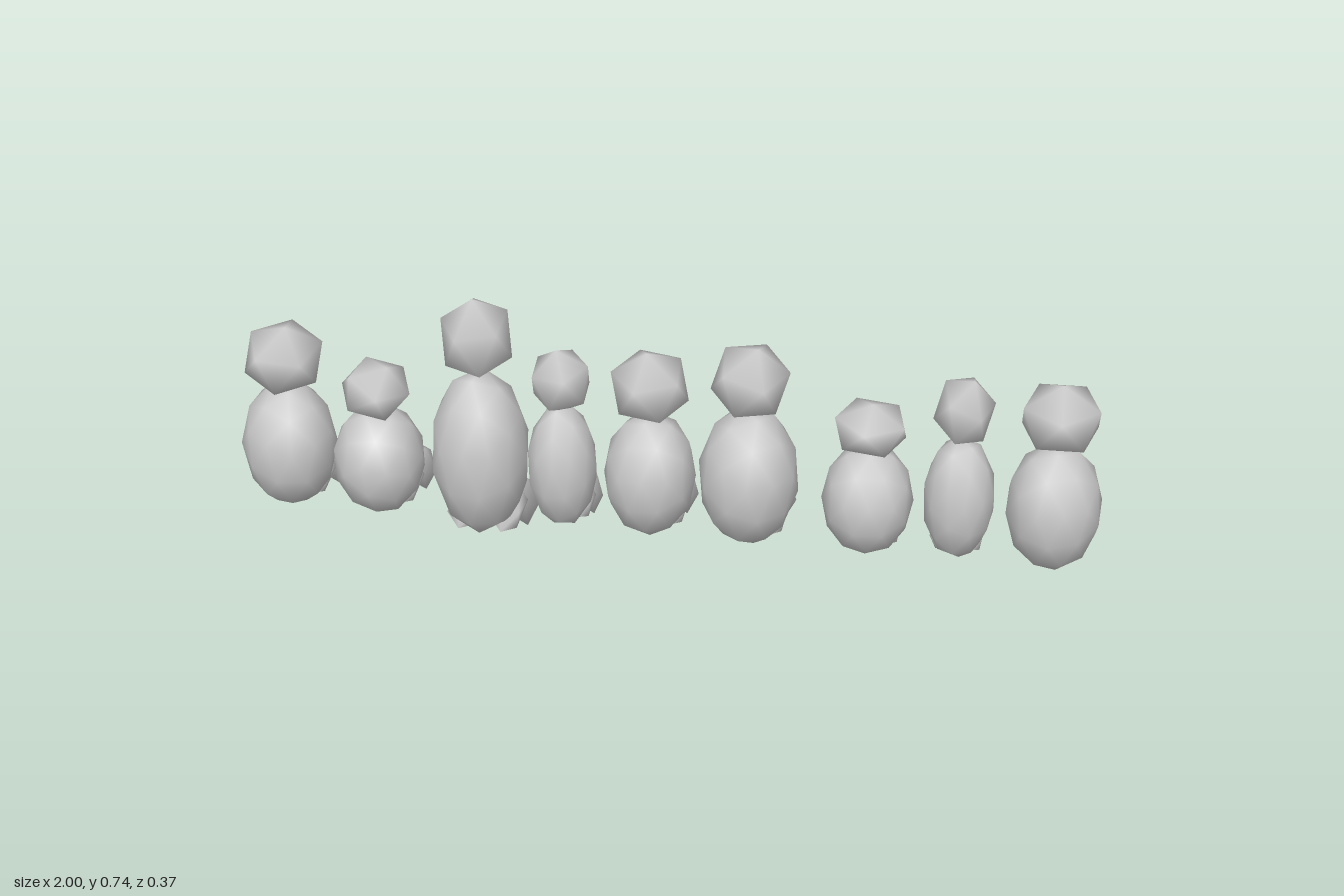
import * as THREE from 'three';
import { mergeVertices } from 'three/addons/utils/BufferGeometryUtils.js';

const grey = new THREE.MeshStandardMaterial({ color: 0xcccccc });

// Faceted, smooth-shaded ball: turned by yaw and tilts, then fitted to half sizes
function blob(detail, yaw, tiltX, tiltZ, hx, hy, hz) {
  let g = new THREE.IcosahedronGeometry(1, detail);
  g.deleteAttribute('uv');
  g.deleteAttribute('normal');
  g = mergeVertices(g, 1e-4);
  g.rotateZ(-0.5536).rotateY(yaw).rotateX(tiltX).rotateZ(tiltZ);
  g.center();
  const m = g.boundingBox.max;
  g.scale(hx / m.x, hy / m.y, hz / m.z);
  g.computeVertexNormals();
  return g;
}

function part(name, geometry, x, y, z, tilt = 0) {
  const mesh = new THREE.Mesh(geometry, grey);
  mesh.name = name;
  mesh.position.set(x, y, z);
  mesh.rotation.x = tilt;
  return mesh;
}

// x, body half width, body bottom, body top, head half width, head top, head tilt, knee, foot
const people = [
  [-0.895, 0.107, 0.165, 0.477, 0.087, 0.637, -0.15, 0.255, 0.08],
  [-0.68, 0.107, 0.165, 0.433, 0.085, 0.55, -0.4, 0.25, 0.09],
  [-0.436, 0.115, 0.13, 0.55, 0.082, 0.747, 0.05, 0.2, 0],
  [-0.243, 0.082, 0.165, 0.478, 0.065, 0.63, 0.1, 0.24, 0.085],
  [-0.037, 0.108, 0.165, 0.472, 0.088, 0.642, 0.05, 0.255, 0.08],
  [0.193, 0.115, 0.16, 0.51, 0.09, 0.675, -0.2, 0.255, 0.09],
  [0.468, 0.105, 0.165, 0.435, 0.08, 0.555, -0.05, 0.25, 0.095],
  [0.676, 0.08, 0.165, 0.482, 0.068, 0.635, -0.3, 0.24, 0.085],
  [0.891, 0.107, 0.165, 0.477, 0.086, 0.643, 0, 0.255, 0.08],
];

function seatedPerson([x, r, bottom, top, headR, headTop, tilt, knee, foot], i) {
  const person = new THREE.Group();
  person.name = `seatedPerson${i + 1}`;
  person.position.x = x;
  const k = r / 0.107;
  const yaw = i * 0.7;

  // Body and head
  person.add(part('body', blob(1, yaw, 0.3, tilt, r, (top - bottom) / 2, r), 0, (top + bottom) / 2, 0.072));
  const headBottom = top - 0.015;
  person.add(part('head', blob(0, yaw + 0.4, 0.15, tilt, headR, (headTop - headBottom) / 2, headR),
    0, (headTop + headBottom) / 2, 0.068));

  // Thighs lie flat, lower legs slope down and back
  const length = (knee - foot) / 2 / 0.9;
  const reach = k < 0.9 ? 0.7 : 1;
  for (const [side, s] of [['left', 1], ['right', -1]]) {
    const lx = s * 0.047 * k;
    person.add(part(side + 'Thigh', blob(0, 0.3, 1.5, 0.2, 0.036 * k, 0.033, 0.088 * k),
      lx, knee - 0.043, 0.023, 0.12));
    person.add(part(side + 'LowerLeg', blob(0, 0.4, 0.35, 0.3, 0.039 * k, length, 0.043 * k),
      lx, (knee + foot) / 2, -0.11 * reach, 0.57 * reach));
  }
  return person;
}

export function createModel() {
  const model = new THREE.Group();
  model.name = 'rowOfSeatedPeople';
  people.forEach((p, i) => model.add(seatedPerson(p, i)));
  return model;
}
